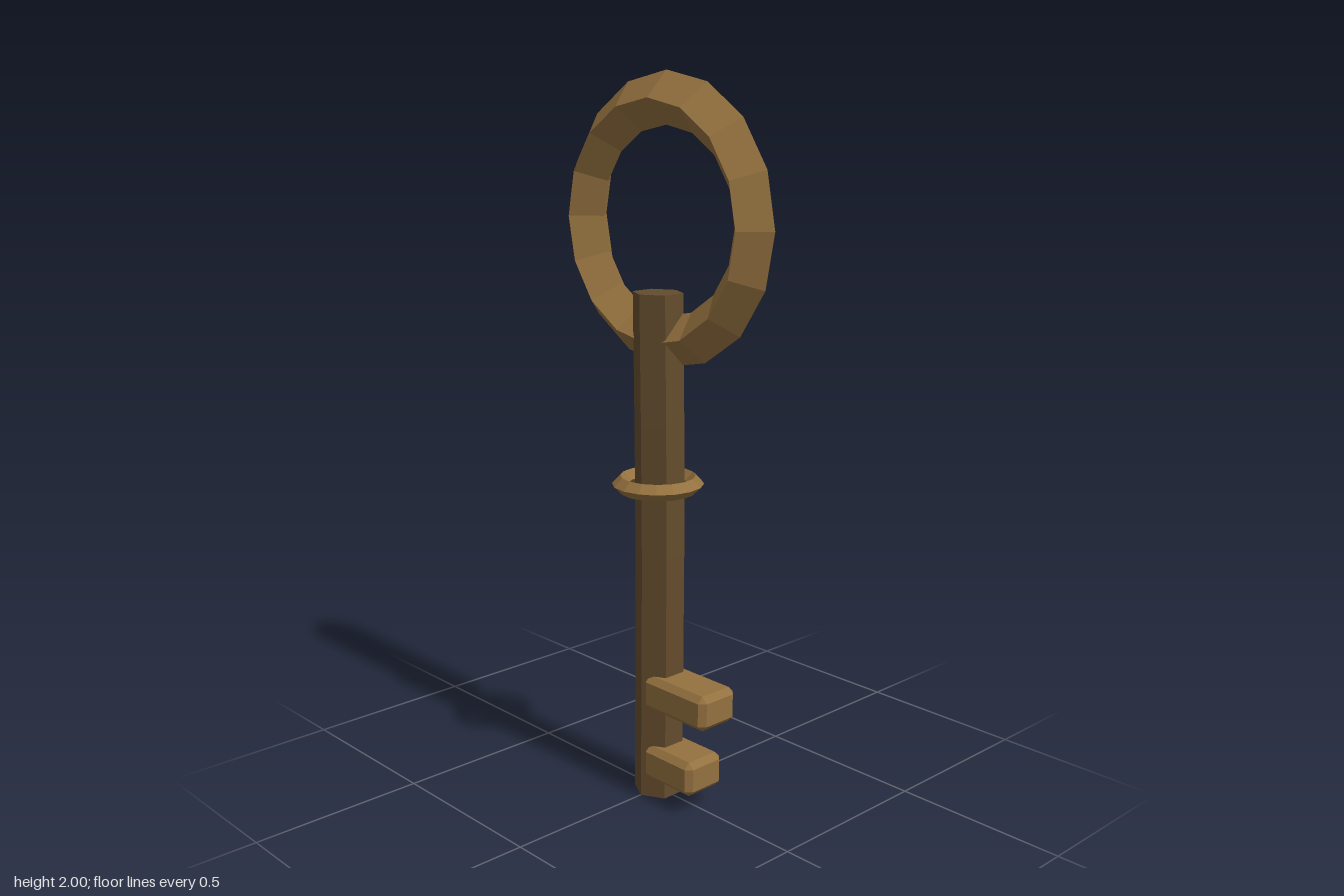
import * as THREE from 'three';
import { ConvexGeometry } from 'three/addons/geometries/ConvexGeometry.js';

const brass = new THREE.MeshStandardMaterial({ name: 'brass', color: 0x94713f, flatShading: true });
const darkBronze = new THREE.MeshStandardMaterial({ name: 'darkBronze', color: 0x644c2d, flatShading: true });

// Box with every edge chamfered by c: three points near each corner
function chamferBox(w, h, d, c) {
  const points = [];
  for (const sx of [-1, 1]) for (const sy of [-1, 1]) for (const sz of [-1, 1]) {
    const x = w / 2, y = h / 2, z = d / 2;
    points.push(
      new THREE.Vector3(sx * x, sy * (y - c), sz * (z - c)),
      new THREE.Vector3(sx * (x - c), sy * y, sz * (z - c)),
      new THREE.Vector3(sx * (x - c), sy * (y - c), sz * z));
  }
  return new ConvexGeometry(points);
}

export function createModel() {
  const key = new THREE.Group();
  key.name = 'key';

  function add(name, geometry, material, x, y, z) {
    const mesh = new THREE.Mesh(geometry, material);
    mesh.name = name;
    mesh.position.set(x, y, z);
    key.add(mesh);
    return mesh;
  }

  // Handle ring with a diamond section
  add('bowRing', new THREE.TorusGeometry(0.318, 0.069, 4, 16), brass, 0, 1.613, -0.03);

  // Hexagonal shaft, bowed slightly sideways in the middle
  const length = 1.43;
  const shaft = new THREE.CylinderGeometry(0.067, 0.067, length, 6, 4);
  const p = shaft.attributes.position;
  for (let i = 0; i < p.count; i++) {
    const t = p.getY(i) / length + 0.5;
    p.setX(i, p.getX(i) * 1.08 + 0.007 * Math.sin(Math.PI * t));
  }
  add('shaft', shaft, darkBronze, 0, length / 2, 0);

  // Loose collar around the shaft
  add('collar', new THREE.TorusGeometry(0.103, 0.023, 4, 16), brass, 0, 0.907, 0)
    .rotation.x = Math.PI / 2;

  // Two teeth on the left side: width, height, centre height
  const teeth = [['upperTooth', 0.24, 0.1, 0.317], ['lowerTooth', 0.19, 0.1, 0.107]];
  for (const [name, w, h, y] of teeth) {
    add(name, chamferBox(w, h, 0.134, 0.017), brass, 0.005 + w / 2, y, 0);
  }

  return key;
}
